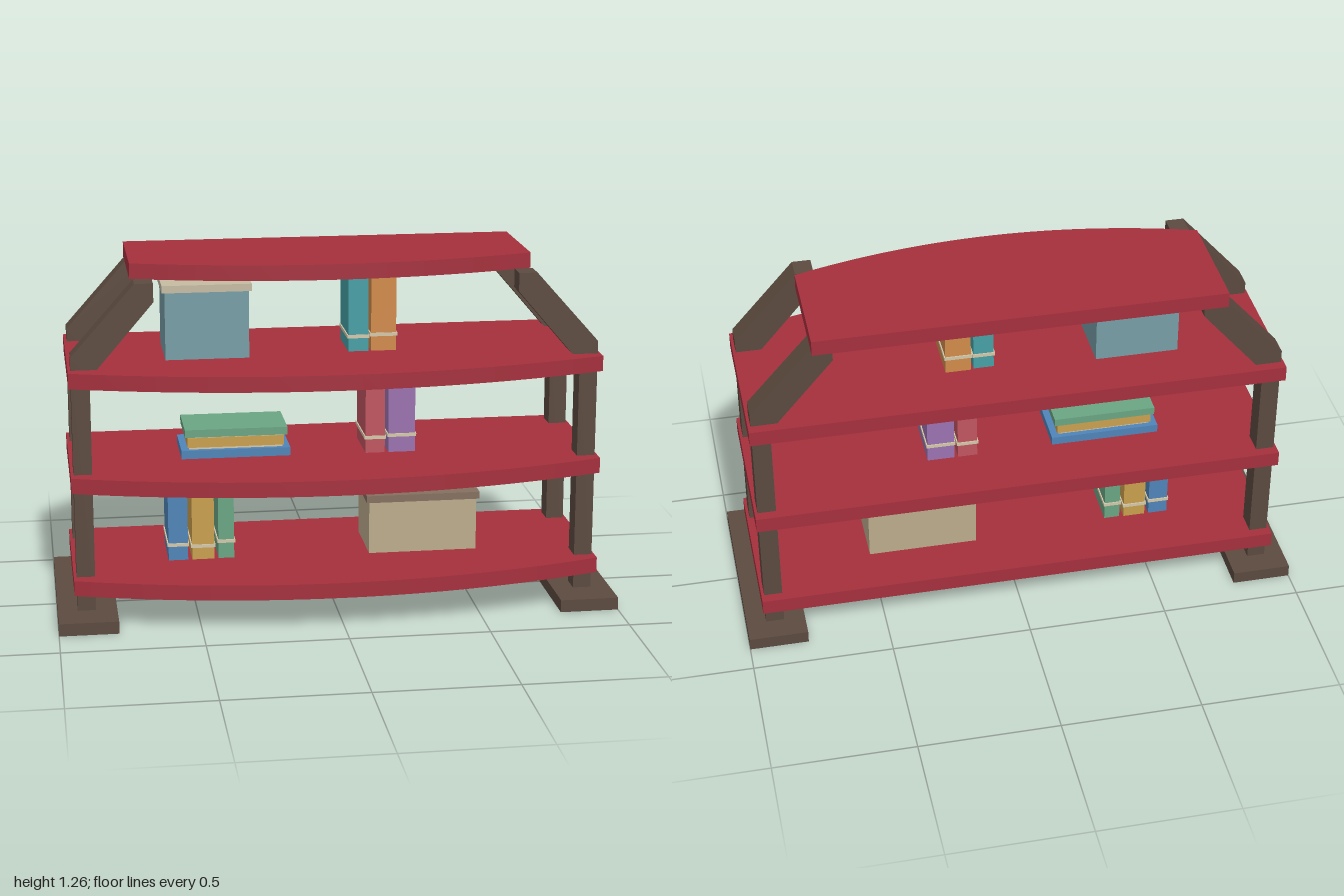
import * as THREE from 'three';

const mat = (color) => new THREE.MeshStandardMaterial({ color });
const WOOD = mat(0x5c4a3f), RED = mat(0xa5303d), CREAM = mat(0xd3c8aa);

export function createModel() {
  const model = new THREE.Group();

  const add = (name, geometry, material, parent = model) => {
    const mesh = new THREE.Mesh(geometry, material);
    mesh.name = name;
    parent.add(mesh);
    return mesh;
  };

  // box given by its limits on each axis
  const box = (name, [x0, x1], [y0, y1], [z0, z1], material, parent) => {
    const mesh = add(name, new THREE.BoxGeometry(x1 - x0, y1 - y0, z1 - z0), material, parent);
    mesh.position.set((x0 + x1) / 2, (y0 + y1) / 2, (z0 + z1) / 2);
    return mesh;
  };

  // bow-fronted board: straight back and ends, curved front edge
  const board = (name, half, y, zEnd, zMid) => {
    const s = new THREE.Shape();
    s.moveTo(-half, 0.35);
    s.lineTo(-half, -zEnd);
    s.quadraticCurveTo(0, -(2 * zMid - zEnd), half, -zEnd);
    s.lineTo(half, 0.35);
    s.closePath();
    const g = new THREE.ExtrudeGeometry(s, { depth: 0.055, bevelEnabled: false, curveSegments: 32 });
    g.rotateX(-Math.PI / 2);
    add(name, g, RED).position.y = y;
  };
  [0.115, 0.49, 0.865].forEach((y, i) => board(`shelf${i + 1}`, 0.94, y, 0.25, 0.4));
  board('topShelf', 0.713, 1.205, 0.06, 0.173);

  // feet and posts, each post bending inwards to carry the top shelf
  for (const side of [-1, 1]) {
    const label = side > 0 ? 'left' : 'right';
    add(`${label}Foot`, new THREE.BoxGeometry(0.21, 0.045, 0.74), WOOD).position.set(side * 0.895, 0.0225, -0.03);
    const outline = [[0.93, 0.04], [0.93, 0.965], [0.705, 1.218], [0.64, 1.218], [0.64, 1.152], [0.865, 0.89], [0.865, 0.04]];
    const shape = new THREE.Shape(outline.map(([x, y]) => new THREE.Vector2(side * x, y)));
    for (const [end, z] of [['Front', 0.13], ['Back', -0.314]]) {
      const g = new THREE.ExtrudeGeometry(shape, { depth: 0.08, bevelEnabled: false });
      add(`${label}${end}Post`, g, WOOD).position.z = z;
    }
  }

  // upright books with a cream band: x range, bottom, top, band height, z range, colour
  const books = [
    ['blueBook', [-0.595, -0.525], 0.17, 0.482, 0.228, [-0.14, 0.07], 0x4f84b8],
    ['yellowBook', [-0.51, -0.43], 0.17, 0.428, 0.22, [-0.14, 0.07], 0xc9a04e],
    ['greenBook', [-0.415, -0.358], 0.17, 0.495, 0.234, [-0.137, 0.067], 0x6aa583],
    ['redBook', [0.12, 0.19], 0.545, 0.834, 0.602, [-0.14, 0.07], 0xc05560],
    ['purpleBook', [0.203, 0.3], 0.545, 0.87, 0.608, [-0.14, 0.07], 0x9b72b0],
    ['tealBook', [0.058, 0.13], 0.92, 1.188, 0.974, [-0.135, 0.06], 0x46a0a6],
    ['orangeBook', [0.14, 0.23], 0.92, 1.207, 0.979, [-0.14, 0.06], 0xd18a4a],
  ];
  for (const [name, x, y0, y1, yBand, z, color] of books) {
    const book = new THREE.Group();
    book.name = name;
    model.add(book);
    box('cover', x, [y0, y1], z, mat(color), book);
    const grow = ([a, b]) => [a - 0.004, b + 0.004];
    box('band', grow(x), [yBand - 0.006, yBand + 0.006], grow(z), CREAM, book);
  }

  // stack of lying books, with thin page layers between
  const stack = new THREE.Group();
  stack.name = 'bookStack';
  model.add(stack);
  box('blueLyingBook', [-0.543, -0.153], [0.55, 0.58], [-0.145, 0.08], mat(0x4f84b8), stack);
  box('yellowLyingBook', [-0.52, -0.175], [0.587, 0.622], [-0.13, 0.066], mat(0xc9a04e), stack);
  box('greenLyingBook', [-0.53, -0.163], [0.627, 0.655], [-0.14, 0.076], mat(0x6aa583), stack);
  for (const y of [0.545, 0.58, 0.622]) box('pages', [-0.515, -0.18], [y, y + 0.008], [-0.125, 0.062], CREAM, stack);

  // lidded storage boxes
  const storage = (name, x, y0, y1, z, color, lidColor) => {
    const group = new THREE.Group();
    group.name = name;
    model.add(group);
    box('body', x, [y0, y1], z, mat(color), group);
    box('lid', [x[0] - 0.01, x[1] + 0.01], [y1, y1 + 0.026], [z[0] - 0.01, z[1] + 0.01], mat(lidColor), group);
  };
  storage('tanBox', [0.132, 0.526], 0.17, 0.363, [-0.167, 0.087], 0xbcac8c, 0x857060);
  storage('blueGreyBox', [-0.595, -0.3], 0.92, 1.161, [-0.167, 0.103], 0x769da6, 0xc6bca2);

  return model;
}
